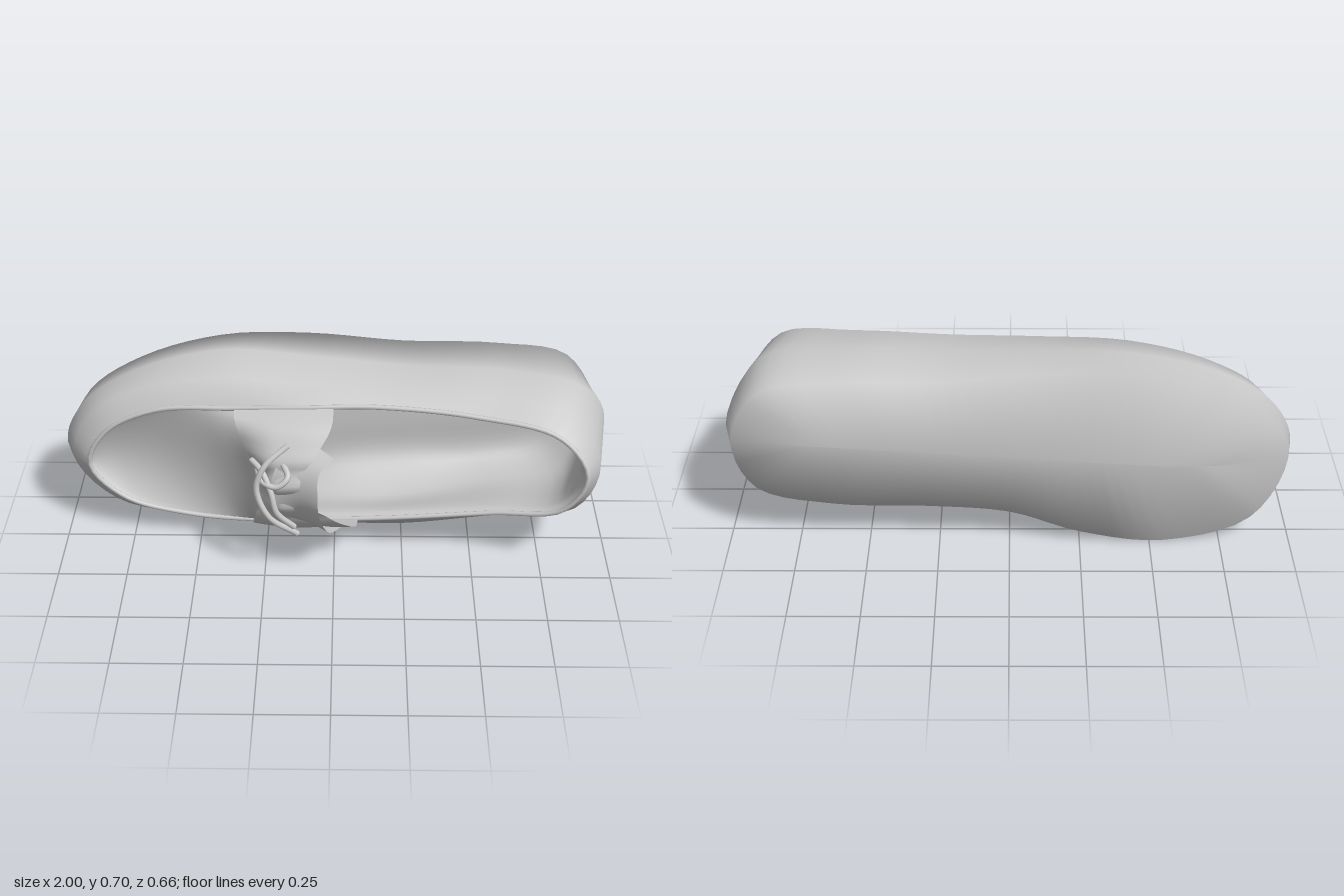
import * as THREE from 'three';

const V = (p) => new THREE.Vector3(p[0], p[1], p[2]);
const leather = new THREE.MeshStandardMaterial({ color: 0xcccccc, roughness: 0.9, side: THREE.DoubleSide });

// Outlines around the shoe: toe tip, upper side, heel, lower side
const soleRing = [
  [-.98, .31, -.255], [-.92, .47, -.275], [-.72, .60, -.30], [-.42, .685, -.315], [-.1, .69, -.325], [.25, .66, -.325],
  [.6, .655, -.32], [.86, .61, -.315], [.965, .41, -.31], [.89, .225, -.315], [.62, .16, -.32], [.3, .155, -.325],
  [0, .13, -.325], [-.25, .045, -.325], [-.55, 0, -.315], [-.86, .08, -.285]];
const sideRing = [
  [-1, .31, -.16], [-.93, .48, -.16], [-.74, .61, -.17], [-.42, .695, -.18], [-.1, .69, -.15], [.25, .67, -.12],
  [.6, .665, -.1], [.88, .615, -.08], [1, .41, -.19], [.92, .22, -.08], [.62, .145, -.1], [.25, .09, -.08],
  [0, .075, -.1], [-.25, .035, -.14], [-.55, .005, -.2], [-.86, .085, -.17]];
const shoulderRing = [
  [-.965, .31, -.07], [-.885, .49, -.07], [-.7, .60, -.06], [-.42, .66, -.03], [-.1, .66, 0], [.2, .655, .02],
  [.55, .65, .06], [.83, .605, .12], [.945, .41, .14], [.87, .215, .12], [.6, .145, .06], [.25, .09, .04],
  [0, .065, 0], [-.25, .045, -.03], [-.55, .035, -.09], [-.82, .12, -.07]];
const rimRing = [
  [-.9, .30, -.025], [-.83, .44, -.025], [-.64, .54, -.01], [-.36, .57, .025], [-.1, .595, .06], [.15, .605, .07],
  [.5, .59, .11], [.79, .545, .175], [.89, .42, .222], [.815, .265, .205], [.57, .20, .13], [.22, .145, .085],
  [0, .12, .06], [-.3, .09, .02], [-.55, .095, -.01], [-.78, .16, -.02]];

// Height of the tread, springing up at the toe
const treadZ = (x) => -0.328 + 0.085 * Math.max(0, (-x - 0.45) / 0.5) ** 2;

// Pull an outline towards the long centre line; depth gives z
const inset = (ring, sx, sy, depth) => ring.map(([x, y, z]) => {
  const cy = 0.36 + 0.05 * x;
  return [x * sx, cy + (y - cy) * sy, depth(x * sx, z)];
});
const closedCurve = (ring) => new THREE.CatmullRomCurve3(ring.map(V), true);

// Skin a surface over rows of points
function skin(name, rows, closed = false) {
  const n = rows[0].length, pos = [], idx = [];
  rows.forEach((r) => r.forEach((p) => pos.push(p.x, p.y, p.z)));
  for (let j = 0; j < rows.length - 1; j++) {
    for (let i = 0; i < (closed ? n : n - 1); i++) {
      const a = j * n + i, b = j * n + (i + 1) % n;
      idx.push(a, a + n, b, b, a + n, b + n);
    }
  }
  const g = new THREE.BufferGeometry();
  g.setAttribute('position', new THREE.Float32BufferAttribute(pos, 3));
  g.setIndex(idx);
  g.computeVertexNormals();
  const m = new THREE.Mesh(g, leather);
  m.name = name;
  return m;
}

// Smooth lofted shell through closed outlines
function shell(name, rings, steps) {
  const N = 80, curves = rings.map(closedCurve), rows = [];
  const cols = Array.from({ length: N }, (_, i) =>
    new THREE.CatmullRomCurve3(curves.map((c) => c.getPoint(i / N))).getPoints(steps));
  for (let j = 0; j <= steps; j++) rows.push(cols.map((c) => c[j]));
  return skin(name, rows, true);
}

function cord(name, pts, r, closed = false) {
  const m = new THREE.Mesh(
    new THREE.TubeGeometry(new THREE.CatmullRomCurve3(pts.map(V), closed), closed ? 120 : 28, r, 8, closed), leather);
  m.name = name;
  return m;
}

// Patch spanning the rim from side to side; rise lifts it, push slides it lengthwise
function span(name, u0, u1, rise, push) {
  const rim = closedCurve(rimRing), rows = [];
  for (let j = 0; j <= 20; j++) {
    const t = j / 20, u = u0 + (u1 - u0) * t;
    const a = rim.getPoint(u), b = rim.getPoint((1 - u) % 1), row = [];
    for (let i = 0; i <= 32; i++) {
      const v = i / 32, p = a.clone().lerp(b, v);
      p.z += rise(t, v);
      p.x += push(t, v);
      row.push(p);
    }
    rows.push(row);
  }
  return skin(name, rows);
}

export function createModel() {
  const shoe = new THREE.Group();
  shoe.name = 'shoe';

  // Sole and outer wall in one softly shaded skin, one row per outline
  shoe.add(shell('soleAndUpper',
    [inset(soleRing, 0.75, 0, treadZ), soleRing, sideRing, shoulderRing, rimRing], 4));

  // Bowl-shaped lining and insole
  shoe.add(shell('lining', [
    rimRing, inset(rimRing, 0.985, 0.97, (x, z) => z - 0.04), inset(sideRing, 0.92, 0.88, (x, z) => z - 0.02),
    inset(soleRing, 0.87, 0.74, (x) => treadZ(x) + 0.09), inset(soleRing, 0.7, 0, (x) => treadZ(x) + 0.08)], 24));

  // Fine seam around toe panel and opening
  shoe.add(cord('collarSeam', rimRing, 0.009, true));

  // Dished toe panel, turning up sharply at the throat
  const hump = (v, k) => Math.pow(Math.max(0, Math.sin(Math.PI * v)), k);
  shoe.add(span('toePanel', 0, 0.195,
    (t, v) => hump(v, 0.8) * (-0.045 * Math.sin(Math.PI * Math.min(1, t * 1.1)) + 0.13 * t ** 12),
    (t, v) => 0.05 * t ** 8 * hump(v, 2)));

  // Arched strap over the instep, gathered at the middle
  shoe.add(span('instepStrap', 0.188, 0.275,
    (t, v) => hump(v, 0.42) * (0.12 + 0.07 * Math.sin(Math.PI * Math.min(0.5, t * 1.2)))
      + 0.01 * Math.sin(v * Math.PI * 10) * hump(v, 2),
    (t, v) => (0.06 - 0.22 * t) * hump(v, 1.5)));

  // Flared tongue
  const tongueBase = new THREE.CatmullRomCurve3(
    [[-.12, .53, .18], [-.2, .45, .22], [-.22, .35, .225], [-.19, .24, .21], [-.1, .12, .07]].map(V));
  const tongueTip = new THREE.CatmullRomCurve3(
    [[0, .49, .23], [-.05, .45, .27], [-.055, .38, .315], [-.05, .31, .325], [-.02, .21, .275], [.025, .13, .13]].map(V));
  const tongueRows = [];
  for (let j = 0; j <= 10; j++) {
    const row = [];
    for (let i = 0; i <= 24; i++) {
      const p = tongueBase.getPoint(i / 24).lerp(tongueTip.getPoint(i / 24), j / 10);
      p.z -= 0.02 * Math.sin(Math.PI * j / 10);
      row.push(p);
    }
    tongueRows.push(row);
  }
  shoe.add(skin('tongue', tongueRows));

  // Laces: two crossing ties and a small loop
  const laces = new THREE.Group();
  laces.name = 'laces';
  laces.add(
    cord('lace', [[-.16, .53, .21], [-.24, .47, .25], [-.27, .39, .265], [-.23, .28, .28], [-.13, .18, .24]], 0.011),
    cord('lace', [[-.29, .46, .19], [-.25, .44, .24], [-.22, .38, .275], [-.2, .30, .285], [-.14, .22, .255]], 0.011),
    cord('laceLoop', [[-.27, .43, .2], [-.25, .41, .255], [-.2, .40, .275], [-.16, .43, .26], [-.18, .46, .21]], 0.011));
  shoe.add(laces);

  return shoe;
}
